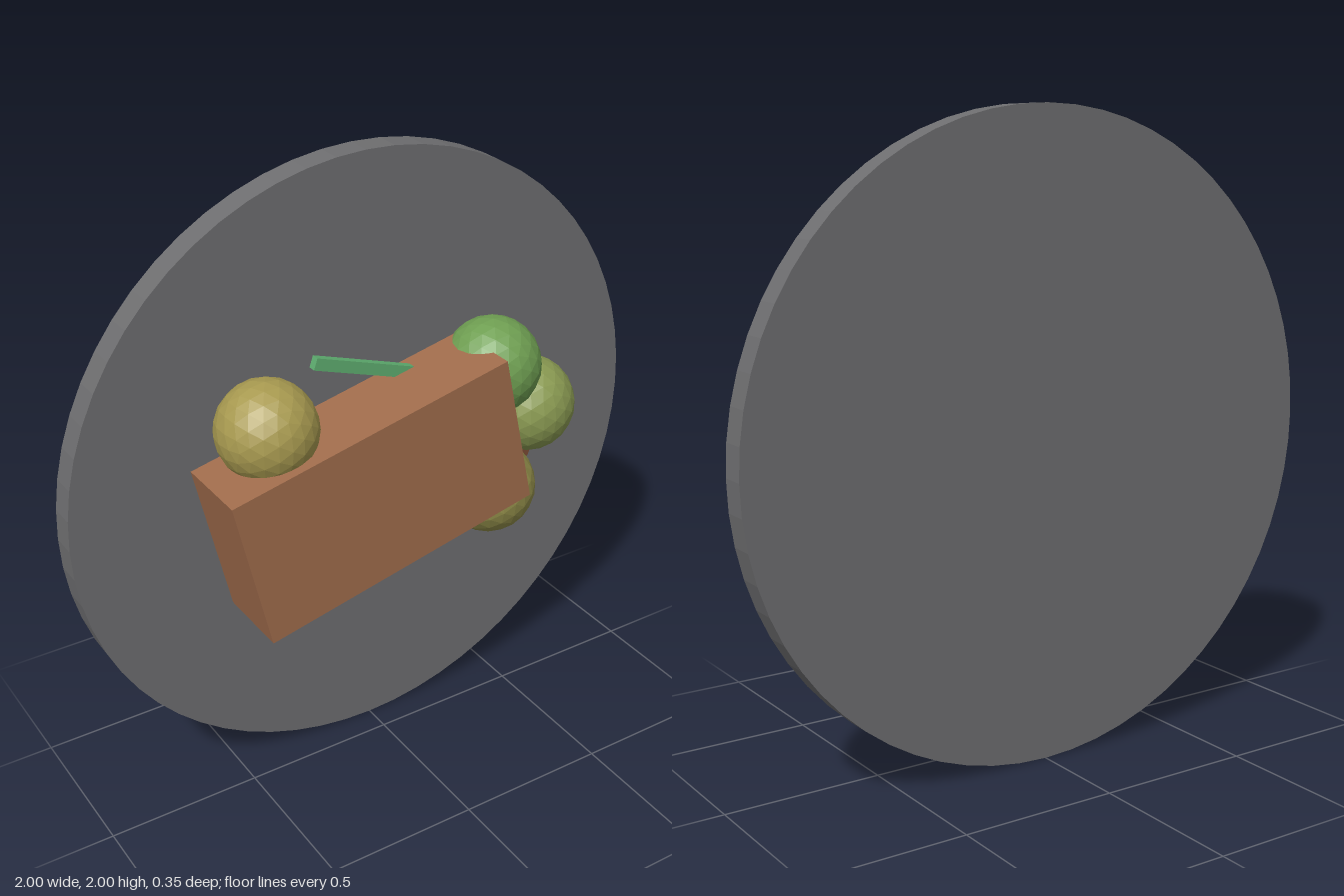
import * as THREE from 'three';

export function createModel() {
  const group = new THREE.Group();

  const add = (name, geometry, color, x, y, z, tilt = 0) => {
    const material = new THREE.MeshStandardMaterial({ color, flatShading: true });
    const mesh = new THREE.Mesh(geometry, material);
    mesh.name = name;
    mesh.position.set(x, y, z);
    mesh.rotation.z = tilt;
    group.add(mesh);
    return mesh;
  };

  // Upright disc with its axis along z
  const disc = (radius, depth) => new THREE.CylinderGeometry(radius, radius, depth, 64).rotateX(Math.PI / 2);

  // Round backing plate
  add('backPlate', disc(1, 0.085), 0x6e6e70, 0, 1, -0.133);

  // Thin oval slice behind the block
  add('ovalSlice', disc(1, 0.035).scale(0.555, 0.305, 1), 0x7a4a34, 0.06, 0.95, -0.053);

  // Tilted main block
  add('block', new THREE.BoxGeometry(0.965, 0.513, 0.255), 0xa06c4c, -0.087, 1.005, 0.048, 0.22);

  // Slender stick tucked behind the top of the block
  add('stick', new THREE.BoxGeometry(0.44, 0.038, 0.026), 0x5fae70, -0.012, 1.342, -0.036, -0.332);

  // Faceted balls around the block
  [
    ['upperLeftBall', -0.405, 1.265, 0xa89a50],
    ['greenBall', 0.397, 1.263, 0x6f9f52],
    ['oliveBall', 0.54, 1.09, 0x8a9a52],
    ['lowerBall', 0.397, 0.83, 0x928e4a],
  ].forEach(([name, x, y, color]) =>
    add(name, new THREE.IcosahedronGeometry(0.156, 3), color, x, y, 0.006));

  return group;
}
